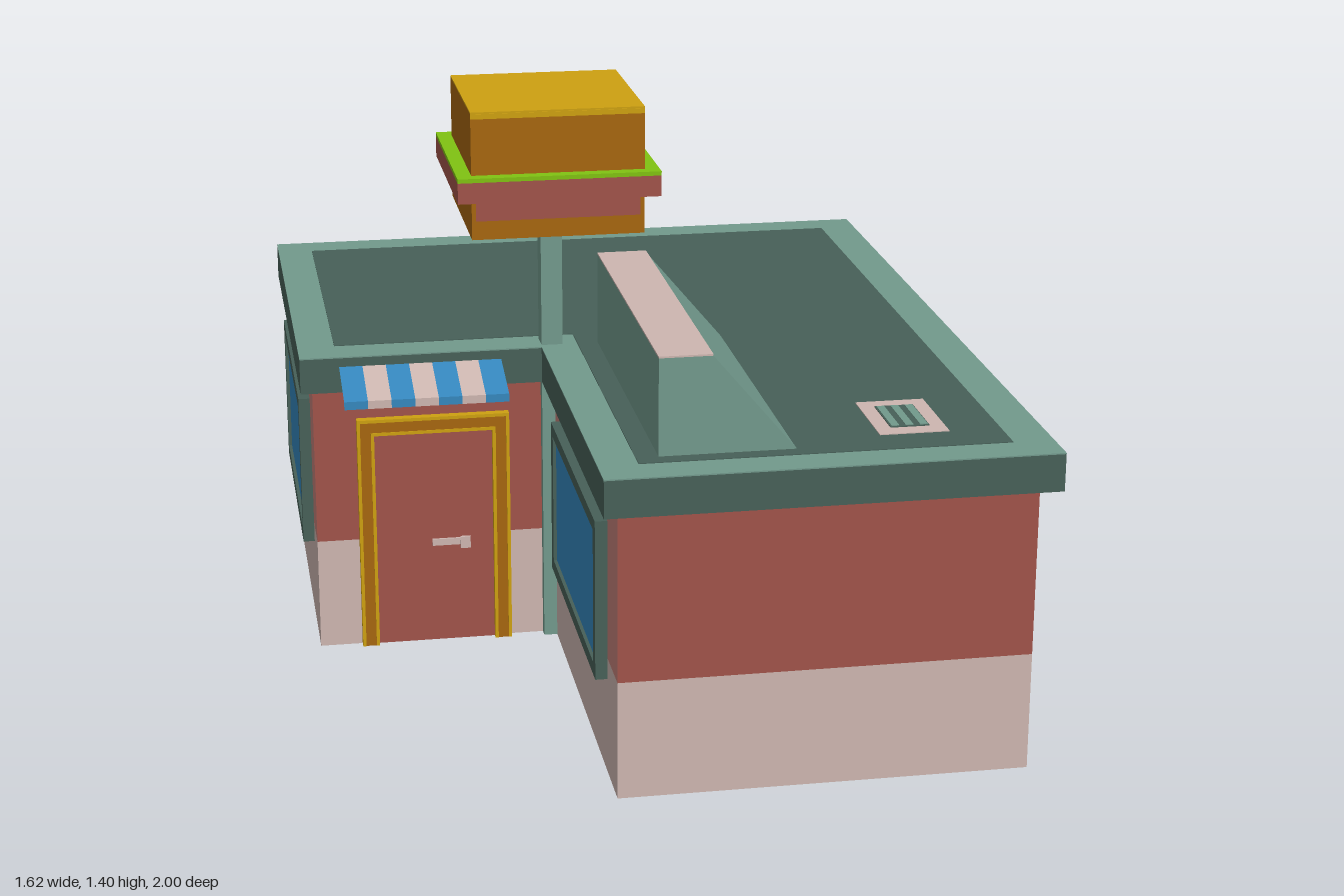
import * as THREE from 'three';

const mat = (name, color, side = THREE.FrontSide) => {
  const m = new THREE.MeshStandardMaterial({ color, side });
  m.name = name;
  return m;
};

export function createModel() {
  const D = THREE.DoubleSide;
  const M = {
    beige: mat('beige', 0xcdb6b0, D),
    red: mat('brick red', 0xa0534a, D),
    pink: mat('light brick', 0xc28078, D),
    dark: mat('dark green', 0x476058),
    green: mat('sage green', 0x72998c),
    brown: mat('bun brown', 0xa6660f),
    gold: mat('gold', 0xcda011),
    lime: mat('lettuce green', 0x80c212),
    blue: mat('blue', 0x3587bd, D),
  };
  const root = new THREE.Group();
  root.name = 'burgerRestaurant';

  const add = (name, geo, material, parent = root) => {
    const mesh = new THREE.Mesh(geo, material);
    mesh.name = name;
    parent.add(mesh);
    return mesh;
  };
  // Box given by its min and max on each axis
  const box = (name, material, x0, x1, y0, y1, z0, z1, parent) => {
    const g = new THREE.BoxGeometry(x1 - x0, y1 - y0, z1 - z0);
    g.translate((x0 + x1) / 2, (y0 + y1) / 2, (z0 + z1) / 2);
    return add(name, g, material, parent);
  };
  // Flat slab from a plan outline of [x, z] points
  const slab = (name, material, pts, y0, y1) => {
    const shape = new THREE.Shape(pts.map(([x, z]) => new THREE.Vector2(x, -z)));
    const g = new THREE.ExtrudeGeometry(shape, { depth: y1 - y0, bevelEnabled: false });
    g.rotateX(-Math.PI / 2).translate(0, y0, 0);
    return add(name, g, material);
  };
  const rect = (C, x0, x1, y0, y1) =>
    new C([[x0, y0], [x1, y0], [x1, y1], [x0, y1]].map(([x, y]) => new THREE.Vector2(x, y)));

  // Walls: thin shell around an L-shaped plan, pale base with brick above
  const plan = [[-0.185, 0.965], [0.76, 0.965], [0.76, -0.96], [-0.78, -0.96], [-0.78, 0.01], [-0.185, 0.01]];
  plan.forEach(([x0, z0], i) => {
    const [x1, z1] = plan[(i + 1) % plan.length];
    const dx = x1 - x0, dz = z1 - z0, len = Math.hypot(dx, dz);
    const upper = Math.abs(dx) > Math.abs(dz) ? M.red : M.pink;
    [['wallBase', M.beige, 0, 0.28], ['wallBrick', upper, 0.28, 0.68]].forEach(([name, m, a, b]) => {
      const wall = add(name, new THREE.PlaneGeometry(len, b - a), m);
      wall.position.set((x0 + x1) / 2, (a + b) / 2, (z0 + z1) / 2);
      wall.rotation.y = Math.atan2(-dz, dx);
    });
  });

  // Roof: dark slab, light rim on top, dark field inside the rim
  const edge = [[-0.22, 1], [0.805, 1], [0.805, -1], [-0.81, -1], [-0.81, 0.05], [-0.22, 0.05]];
  const field = [[-0.13, 0.915], [0.71, 0.915], [0.71, -0.91], [-0.72, -0.91], [-0.72, -0.04], [-0.13, -0.04]];
  slab('roofSlab', M.dark, edge, 0.68, 0.767);
  slab('roofRim', M.green, edge, 0.767, 0.77);
  slab('roofField', M.dark, field, 0.77, 0.772);

  // Windows: framed panes, modelled facing +z and turned to the wall
  const addWindow = (x, z, turn) => {
    const w = new THREE.Group();
    w.name = 'window';
    const shape = rect(THREE.Shape, -0.34, 0.34, -0.19, 0.19);
    shape.holes.push(rect(THREE.Path, -0.31, 0.31, -0.16, 0.16));
    add('windowFrame', new THREE.ExtrudeGeometry(shape, { depth: 0.028, bevelEnabled: false }), M.dark, w);
    add('windowPane', new THREE.PlaneGeometry(0.63, 0.33), M.blue, w).position.z = 0.02;
    w.position.set(x, 0.42, z);
    w.rotation.y = turn;
    root.add(w);
  };
  addWindow(0.205, -0.96, Math.PI);
  addWindow(-0.78, -0.465, -Math.PI / 2);
  addWindow(-0.185, 0.49, -Math.PI / 2);

  // Door with a trimmed frame and handle
  const arch = (name, material, outer, inner, z0, z1) => {
    const pts = [[-0.488 - outer, 0], [-0.488 - outer, 0.41 + outer], [-0.488 + outer, 0.41 + outer], [-0.488 + outer, 0],
      [-0.488 + inner, 0], [-0.488 + inner, 0.41 + inner], [-0.488 - inner, 0.41 + inner], [-0.488 - inner, 0]];
    const g = new THREE.ExtrudeGeometry(new THREE.Shape(pts.map((p) => new THREE.Vector2(...p))),
      { depth: z1 - z0, bevelEnabled: false });
    add(name, g.translate(0, 0, z0), material);
  };
  box('door', M.red, -0.635, -0.341, 0, 0.56, 0.004, 0.016);
  arch('doorFrame', M.brown, 0.187, 0.147, 0, 0.03);
  arch('doorTrimOuter', M.gold, 0.188, 0.18, 0, 0.032);
  arch('doorTrimInner', M.gold, 0.154, 0.146, 0, 0.032);
  box('doorHandle', M.beige, -0.495, -0.405, 0.255, 0.272, 0.016, 0.022);
  box('doorKnob', M.beige, -0.425, -0.4, 0.245, 0.275, 0.016, 0.024);

  // Awning: seven stripes, each a sloped strip with a short front drop
  const awning = new THREE.Group();
  awning.name = 'awning';
  root.add(awning);
  const drop = [[0.745, 0.05], [0.705, 0.2], [0.685, 0.2]];
  const stripe = 0.395 / 7;
  for (let i = 0; i < 7; i++) {
    const a = -0.715 + i * stripe, b = a + stripe, pos = [];
    for (let k = 0; k < 2; k++) {
      const [y0, z0] = drop[k], [y1, z1] = drop[k + 1];
      pos.push(a, y0, z0, a, y1, z1, b, y1, z1, a, y0, z0, b, y1, z1, b, y0, z0);
    }
    const g = new THREE.BufferGeometry();
    g.setAttribute('position', new THREE.Float32BufferAttribute(pos, 3));
    g.computeVertexNormals();
    add('awningStripe', g, i % 2 ? M.beige : M.blue, awning);
  }

  // Sloped roof housing with a pale top
  const wedge = new THREE.Shape([[-0.08, 0.77], [0.23, 0.77], [0.04, 0.996], [-0.08, 0.996]]
    .map((p) => new THREE.Vector2(...p)));
  add('roofHousing', new THREE.ExtrudeGeometry(wedge, { depth: 0.84, bevelEnabled: false }).translate(0, 0, 0.04), M.green);
  box('roofHousingTop', M.beige, -0.08, 0.04, 0.996, 1, 0.04, 0.88);

  // Roof vent: flat pale ring with slats
  box('ventRing', M.beige, 0.43, 0.59, 0.77, 0.774, 0.6, 0.825);
  box('ventOpening', M.dark, 0.465, 0.555, 0.772, 0.776, 0.64, 0.785);
  for (const x of [0.477, 0.51, 0.543]) {
    box('ventSlat', M.green, x - 0.009, x + 0.009, 0.773, 0.778, 0.645, 0.78);
  }

  // Sign post and burger sign
  box('signPost', M.green, -0.218, -0.166, 0, 1.1, -0.02, 0.035);
  const sign = new THREE.Group();
  sign.name = 'burgerSign';
  root.add(sign);
  box('bottomBun', M.brown, -0.405, 0.005, 1.095, 1.19, -0.197, 0.22, sign);
  box('bottomBunSauce', M.red, -0.395, -0.005, 1.14, 1.19, 0.22, 0.222, sign);
  box('patty', M.red, -0.44, 0.04, 1.19, 1.24, -0.235, 0.25, sign);
  box('lettuce', M.lime, -0.44, 0.04, 1.24, 1.25, -0.235, 0.25, sign);
  box('topBun', M.brown, -0.405, 0.005, 1.25, 1.396, -0.197, 0.22, sign);
  box('topBunCrown', M.gold, -0.405, 0.005, 1.396, 1.4, -0.197, 0.22, sign);
  box('topBunEdge', M.gold, -0.405, 0.005, 1.384, 1.396, 0.22, 0.222, sign);

  return root;
}
